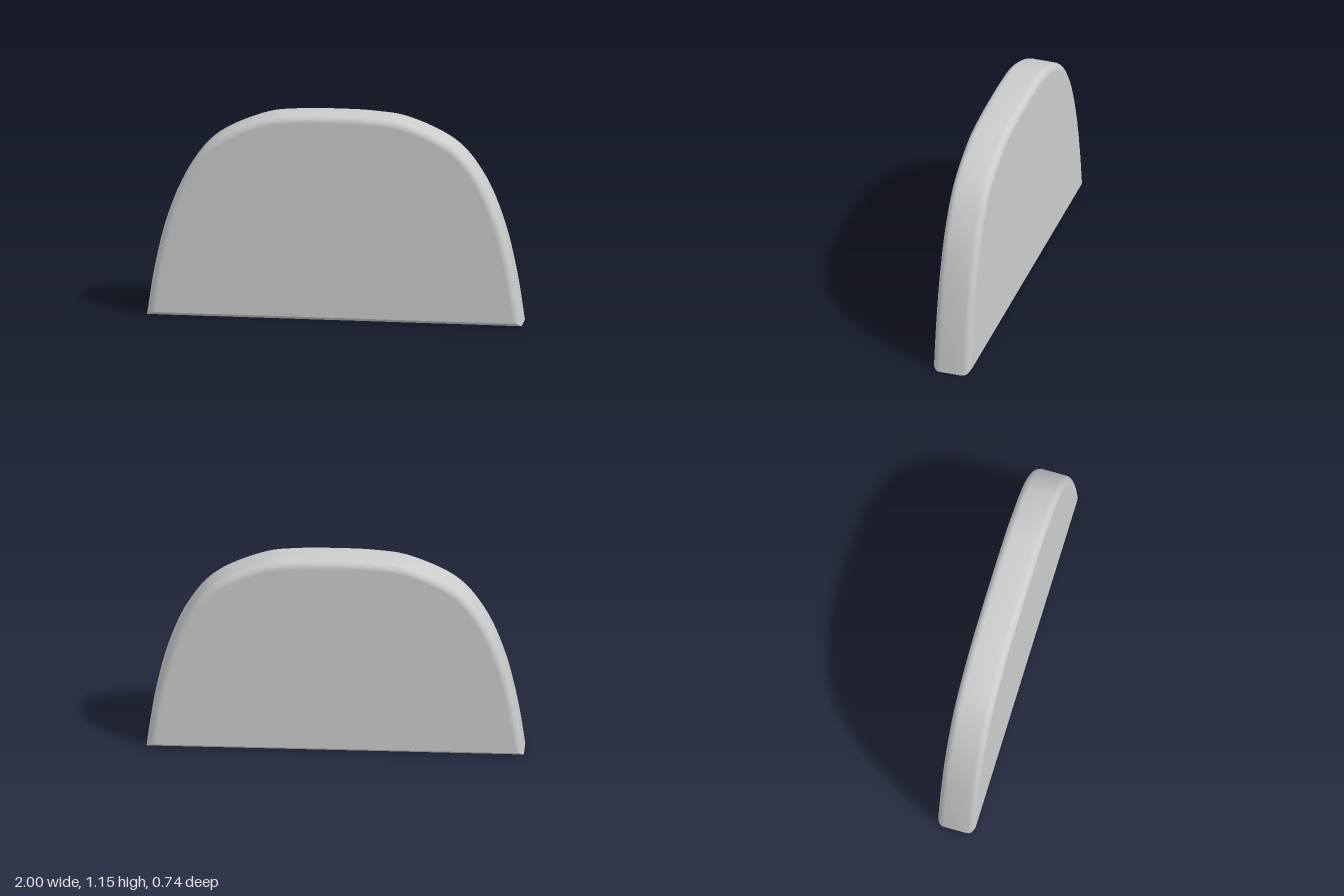
import * as THREE from 'three';
import { toCreasedNormals } from 'three/addons/utils/BufferGeometryUtils.js';

const THICKNESS = 0.21;
const ROUND = 0.04;
const TURN = THREE.MathUtils.degToRad(16);

// Right half of the arched outline, from the foot up to the crown
const HALF = [
  [1.02, 0], [0.978, 0.27], [0.91, 0.55], [0.805, 0.8],
  [0.65, 0.99], [0.4, 1.11], [0.2, 1.14],
];

export function createModel() {
  const group = new THREE.Group();
  group.name = 'archedSlab';

  // Mirrored outline with a flat base
  const right = HALF.map(([x, y]) => new THREE.Vector2(x, y));
  const left = HALF.map(([x, y]) => new THREE.Vector2(-x, y)).reverse();
  const outline = [...right, new THREE.Vector2(0, 1.145), ...left];
  const shape = new THREE.Shape();
  shape.moveTo(outline[0].x, outline[0].y);
  shape.splineThru(outline.slice(1));

  // Slab with rounded front and back rims
  const raw = new THREE.ExtrudeGeometry(shape, {
    depth: THICKNESS - 2 * ROUND,
    bevelEnabled: true,
    bevelThickness: ROUND,
    bevelSize: ROUND,
    bevelOffset: -ROUND,
    bevelSegments: 6,
    curveSegments: 6,
  });
  raw.translate(0, 0, -THICKNESS / 2 + ROUND);
  const caps = raw.groups[0];
  const geometry = toCreasedNormals(raw, 0.7);
  geometry.clearGroups();

  // Keep the two broad faces perfectly flat
  const { position, normal } = geometry.attributes;
  for (let i = caps.start; i < caps.start + caps.count; i++) {
    normal.setXYZ(i, 0, 0, Math.sign(position.getZ(i)));
  }

  const slab = new THREE.Mesh(geometry, new THREE.MeshStandardMaterial({ color: 0xcccccc }));
  slab.name = 'slab';
  slab.rotation.y = -TURN;
  group.add(slab);
  return group;
}
